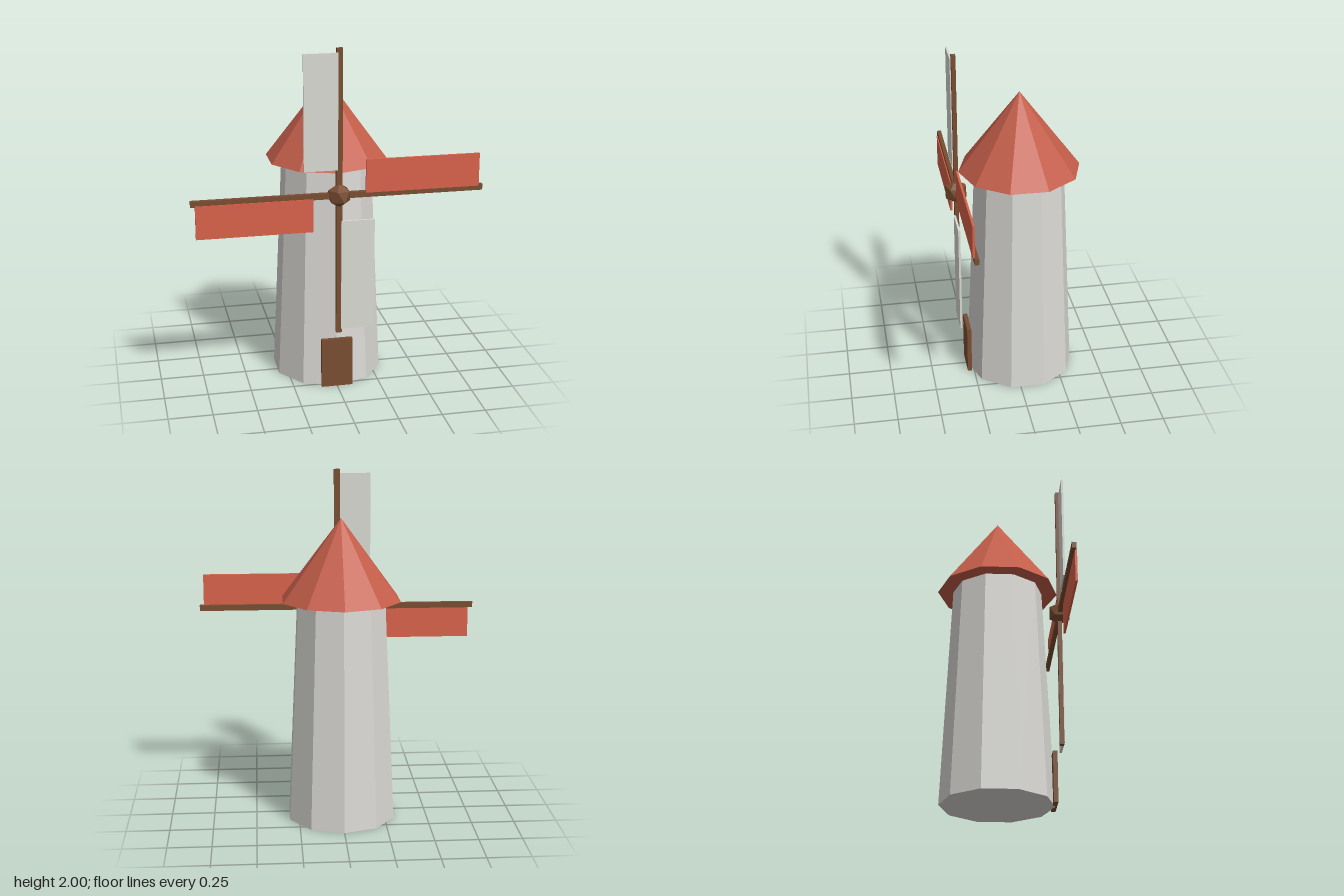
import * as THREE from 'three';

function material(name, color) {
  const m = new THREE.MeshStandardMaterial({ color, flatShading: true });
  m.name = name;
  return m;
}

function part(parent, name, geometry, mat, x, y, z) {
  const mesh = new THREE.Mesh(geometry, mat);
  mesh.name = name;
  mesh.position.set(x, y, z);
  parent.add(mesh);
  return mesh;
}

export function createModel() {
  const stone = material('stone', 0xdad9d5);
  const roofRed = material('roofRed', 0xc45e4a);
  const wood = material('wood', 0x7a4e32);
  const canvas = material('canvas', 0xdbdbd5);
  const sailRed = material('sailRed', 0xda634b);

  const windmill = new THREE.Group();
  windmill.name = 'windmill';

  // Ten-sided tower, roof and door
  const axisZ = -0.04;
  part(windmill, 'tower', new THREE.CylinderGeometry(0.26, 0.32, 1.3, 10), stone, 0, 0.65, axisZ);
  part(windmill, 'roof', new THREE.ConeGeometry(0.35, 0.465, 10), roofRed, 0, 1.5325, axisZ);
  part(windmill, 'door', new THREE.BoxGeometry(0.18, 0.295, 0.025), wood, 0, 0.1475, 0.276);

  // Rotor turning about the hub
  const rotor = new THREE.Group();
  rotor.name = 'rotor';
  rotor.position.set(0, 1.18, 0.326);
  windmill.add(rotor);

  // Faceted hub with a corner pointing up
  const hub = new THREE.IcosahedronGeometry(0.07, 0);
  hub.rotateZ(Math.atan(2 / (1 + Math.sqrt(5))));
  part(rotor, 'hub', hub, wood, 0, 0, 0);

  // Four blades, sails alternating in colour
  for (let i = 0; i < 4; i++) {
    const blade = new THREE.Group();
    blade.name = `blade${i + 1}`;
    blade.rotation.z = -i * Math.PI / 2;
    rotor.add(blade);
    part(blade, 'spar', new THREE.BoxGeometry(0.034, 0.82, 0.024), wood, 0, 0.41, -0.002);
    part(blade, 'sail', new THREE.BoxGeometry(0.19, 0.648, 0.012), i % 2 ? sailRed : canvas,
      -0.105, 0.472, 0.01);
  }

  return windmill;
}
